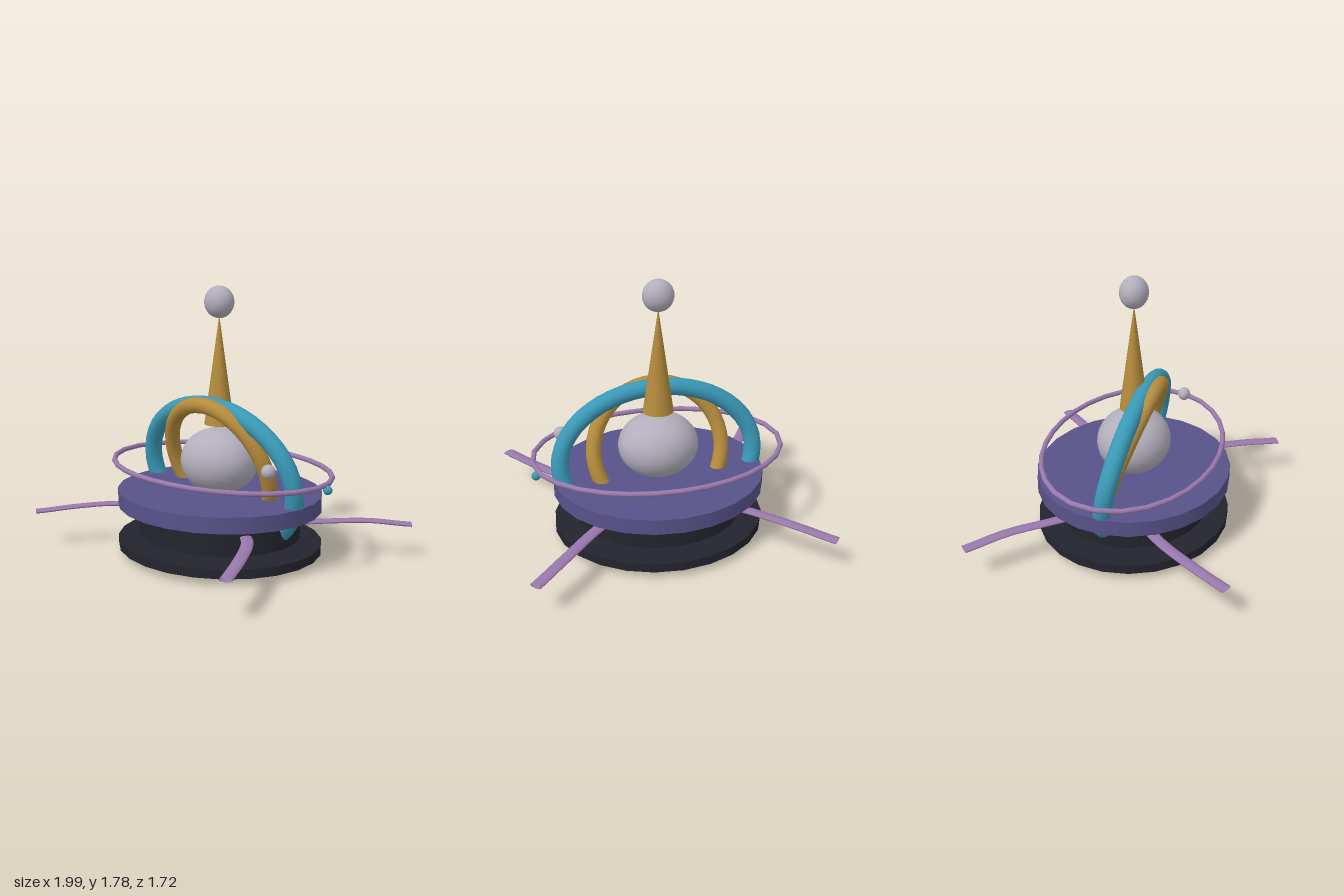
import * as THREE from 'three';

const mat = (name, color, side = THREE.FrontSide) => {
  const m = new THREE.MeshStandardMaterial({ color, side });
  m.name = name;
  return m;
};

export function createModel() {
  const grey = mat('pearl grey', 0xb2aebb);
  const gold = mat('old gold', 0xb58c3c);
  const cyan = mat('teal blue', 0x3a99b7);
  const lilac = mat('lilac', 0x9878ac, THREE.DoubleSide);
  const indigo = mat('indigo', 0x58528a);
  const dark = mat('near black', 0x24242e);

  const model = new THREE.Group();
  model.name = 'orbitalTower';
  const add = (name, geometry, material, x = 0, y = 0, z = 0) => {
    const mesh = new THREE.Mesh(geometry, material);
    mesh.name = name;
    mesh.position.set(x, y, z);
    model.add(mesh);
    return mesh;
  };

  // Oval plates, given by bottom, top and the two radii
  const plate = (name, y0, y1, rx, rz, material) =>
    add(name, new THREE.CylinderGeometry(1, 1, y1 - y0, 24).scale(rx, 1, rz), material, 0, (y0 + y1) / 2);
  plate('basePlate', 0.05, 0.11, 0.717, 0.65, dark);
  plate('drum', 0.145, 0.315, 0.57, 0.515, dark);
  plate('deck', 0.335, 0.44, 0.717, 0.65, indigo);

  // Spheres, given by radii and centre
  const ball = (name, r, p, material) =>
    add(name, new THREE.SphereGeometry(1, 32, 20).scale(...r), material, ...p);
  ball('core', [0.272, 0.22, 0.246], [0, 0.635, 0], grey);
  ball('spireBall', [0.103, 0.105, 0.093], [0, 1.685, 0], grey);
  ball('greyMoon', [0.045, 0.046, 0.043], [0.63, 0.7, 0.19], grey);
  ball('blueMoon', [0.029, 0.029, 0.028], [0.845, 0.57, -0.115], cyan);

  // Spire floating over the core
  add('spire', new THREE.ConeGeometry(1, 0.72, 24).scale(0.103, 1, 0.094), gold, 0, 1.24);

  // Oval hoops: a closed tube in the xy plane, tilted about x
  const hoop = (name, rx, ry, tube, tilt, y, material, segments) => {
    const pts = [];
    for (let i = 0; i < 48; i++) {
      const a = (i / 48) * Math.PI * 2;
      pts.push(new THREE.Vector3(Math.cos(a) * rx, Math.sin(a) * ry, 0));
    }
    const path = new THREE.CatmullRomCurve3(pts, true);
    const mesh = add(name, new THREE.TubeGeometry(path, segments, tube, 12, true), material, 0, y);
    mesh.rotation.x = tilt;
  };
  hoop('outerHoop', 0.672, 0.483, 0.06, 0.178, 0.54, cyan, 48);
  hoop('innerHoop', 0.442, 0.447, 0.052, 0.335, 0.6, gold, 48);
  hoop('halo', 0.848, 0.584, 0.017, Math.PI / 2, 0.6, lilac, 28);
  hoop('collar', 0.582, 0.305, 0.018, Math.PI / 2, 0.318, lilac, 40);

  // Flat curved legs: a level tube, flattened and then lifted along its length
  const leg = (name, side, points) => {
    const path = new THREE.CatmullRomCurve3(points.map(([x, y, z]) => new THREE.Vector3(x * side, 0, z)));
    const heights = new THREE.SplineCurve(points.map(([, y], i) => new THREE.Vector2(i / 3, y)));
    const geo = new THREE.TubeGeometry(path, 16, 0.04, 10);
    const pos = geo.attributes.position;
    for (let i = 0; i < pos.count; i++) {
      pos.setY(i, pos.getY(i) * 0.33 + heights.getPoint(geo.attributes.uv.getX(i)).y);
    }
    geo.computeVertexNormals();
    add(name, geo, lilac);
  };
  for (const [label, s] of [['Left', 1], ['Right', -1]]) {
    leg('front' + label + 'Leg', s, [[0.42, 0.26, 0.18], [0.63, 0.28, 0.37], [0.78, 0.272, 0.58], [0.93, 0.255, 0.84]]);
    leg('back' + label + 'Leg', s, [[0.38, 0.24, -0.22], [0.57, 0.25, -0.42], [0.75, 0.252, -0.62], [0.97, 0.23, -0.83]]);
  }
  return model;
}
